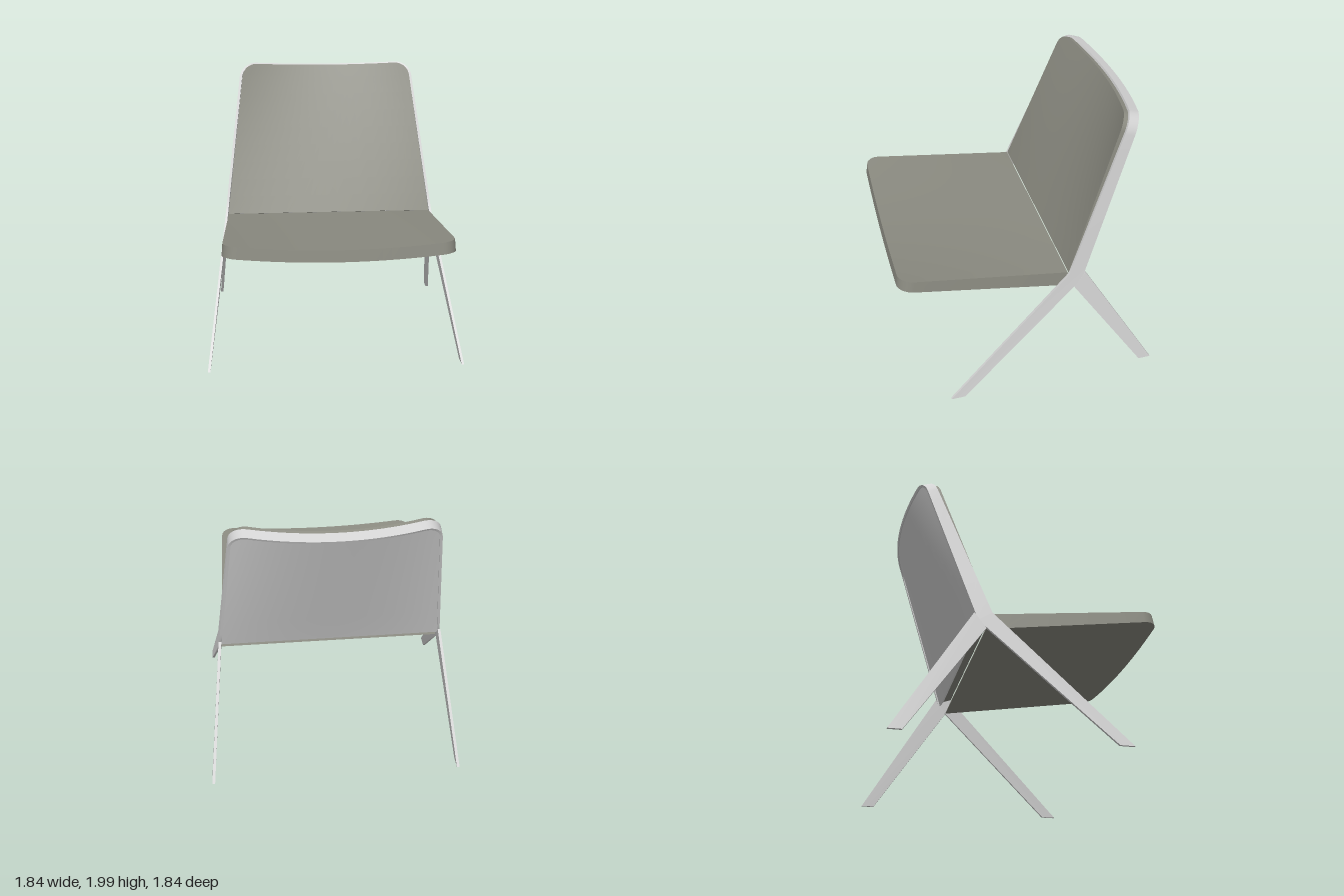
import * as THREE from 'three';
import { toCreasedNormals } from 'three/addons/utils/BufferGeometryUtils.js';

const lerp = THREE.MathUtils.lerp;

// Closed solid through equal-sized rings; ring point i pairs with its opposite for the end caps.
function loft(rings) {
  const n = rings[0].length, pos = [];
  const quad = (a, b, c, d) => {
    for (const p of [a, b, c, a, c, d]) pos.push(p.x, p.y, p.z);
  };
  for (let r = 0; r < rings.length - 1; r++) {
    for (let i = 0; i < n; i++) {
      const j = (i + 1) % n;
      quad(rings[r][i], rings[r][j], rings[r + 1][j], rings[r + 1][i]);
    }
  }
  const cap = (g, flip) => {
    for (let i = 0; i < n / 2 - 1; i++) {
      const q = [g[i], g[n - 1 - i], g[n - 2 - i], g[i + 1]];
      quad(...(flip ? q.reverse() : q));
    }
  };
  cap(rings[0], false);
  cap(rings[rings.length - 1], true);

  // Turn the solid outward when its signed volume is negative
  const v = [];
  for (let i = 0; i < pos.length; i += 3) v.push(new THREE.Vector3(pos[i], pos[i + 1], pos[i + 2]));
  let volume = 0;
  for (let i = 0; i < v.length; i += 3) volume += v[i].dot(v[i + 1].clone().cross(v[i + 2]));
  if (volume < 0) for (let i = 0; i < v.length; i += 3) [v[i + 1], v[i + 2]] = [v[i + 2], v[i + 1]];
  return toCreasedNormals(new THREE.BufferGeometry().setFromPoints(v), 0.6);
}

// Sloping surface: x across, s along the slope, d depth behind the face; it dishes toward its free end.
function surface(y, z, dirY, dirZ, normalY, normalZ, length, sag) {
  return {
    length,
    at(x, s, d, halfWidth) {
      const dish = sag * Math.max(0, s / length) * Math.max(0, 1 - (x / halfWidth) ** 2);
      return new THREE.Vector3(x, y + dirY * s - normalY * (d + dish), z + dirZ * s - normalZ * (d + dish));
    },
  };
}

// Rows from the crease to the free end, rounded at the two end corners
function outline(length, w0, w1, r) {
  const rows = [];
  const add = (s, cut) => rows.push({ s, lin: lerp(w0, w1, s / length), w: lerp(w0, w1, s / length) - cut });
  for (let i = 0; i < 8; i++) add((length - r) * i / 8, 0);
  for (let i = 0; i <= 10; i++) {
    const a = Math.PI / 2 * i / 10;
    add(length - r + r * Math.sin(a), r * (1 - Math.cos(a)));
  }
  return rows;
}

// Dished cushion or panel; mitre shifts the rear face along the slope at the crease
function panel(surf, { w0, w1, r, front, back0, back1, mitre = 0, flare = 0 }) {
  const cols = 24;
  return loft(outline(surf.length, w0, w1, r).map(({ s, lin, w }) => {
    const t = s / surf.length, face = [], rear = [];
    for (let i = 0; i <= cols; i++) {
      const u = 2 * i / cols - 1;
      face.push(surf.at(u * w, s, front, lin));
      const p = surf.at(u * w, s + mitre * (1 - t), lerp(back0, back1, t), lin);
      p.x += u * flare;
      rear.unshift(p);
    }
    return [...face, ...rear];
  }));
}

export function createModel() {
  const upholstery = new THREE.MeshStandardMaterial({ color: 0x8c8c82 });
  upholstery.name = 'greyUpholstery';
  const metal = new THREE.MeshStandardMaterial({ color: 0xd4d4d4 });
  metal.name = 'lightMetal';
  const model = new THREE.Group();
  model.name = 'loungeChair';
  const add = (name, geometry, material) => {
    const mesh = new THREE.Mesh(geometry, material);
    mesh.name = name;
    model.add(mesh);
  };

  const seat = surface(0.89, -0.265, 0.14, 0.99, 0.99, -0.14, 1.177, 0.045);
  const back = surface(0.89, -0.27, 0.946, -0.325, 0.325, 0.946, 1.17, 0.09);

  // Cushions and rear shell
  add('seatCushion', panel(seat, { w0: 0.78, w1: 0.767, r: 0.1, front: 0, back0: 0.11, back1: 0.08, mitre: -0.06, flare: 0.008 }), upholstery);
  add('backCushion', panel(back, { w0: 0.781, w1: 0.641, r: 0.1, front: 0, back0: 0.06, back1: 0.06 }), upholstery);
  add('backShell', panel(back, { w0: 0.786, w1: 0.646, r: 0.1, front: 0.061, back0: 0.1, back1: 0.092, mitre: -0.03 }), metal);

  // Continuous band: front foot, elbow, up the back, over the top and down the other side
  const thick = 0.018;
  const outer = outline(1.185, 0.804, 0.662, 0.115);
  const inner = outline(1.185 - thick, 0.804 - thick, 0.664 - thick, 0.115 - thick);
  const bandRing = (o, i, xo, xi) => {
    const t = Math.min(1, o.s / 1.17);
    const f = lerp(0, 0.03, t), b = lerp(0.11, 0.1, t), m = -0.03 * (1 - t);
    return [back.at(xo, o.s, f, o.lin), back.at(xo, o.s + m, b, o.lin),
      back.at(xi, i.s + m, b, i.lin), back.at(xi, i.s, f, i.lin)];
  };
  const half = [[[0.92, 0.62], [0.92, 0.52], [0.902, 0.52], [0.902, 0.62]].map(([x, z]) => new THREE.Vector3(x, 0, z))];
  outer.forEach((o, k) => half.push(bandRing(o, inner[k], o.w, inner[k].w)));
  const o = outer[outer.length - 1], i = inner[inner.length - 1];
  for (let k = 1; k < 10; k++) half.push(bandRing(o, i, o.w * (1 - k / 10), i.w * (1 - k / 10)));
  const mirrorRing = ring => ring.map(p => new THREE.Vector3(-p.x, p.y, p.z));
  const middle = bandRing(o, i, 0, 0);
  add('frameAndFrontLegs', loft([...half, middle, ...half.map(mirrorRing).reverse()]), metal);

  // Rear legs branch from the elbows
  const leg = [
    [[0.802, 0.88, -0.39], [0.81, 0.77, -0.31], [0.79, 0.77, -0.31], [0.782, 0.88, -0.39]],
    [[0.905, 0, -0.92], [0.905, 0, -0.83], [0.885, 0, -0.83], [0.885, 0, -0.92]],
  ].map(ring => ring.map(p => new THREE.Vector3(...p)));
  add('leftRearLeg', loft(leg), metal);
  add('rightRearLeg', loft(leg.map(mirrorRing)), metal);
  return model;
}
